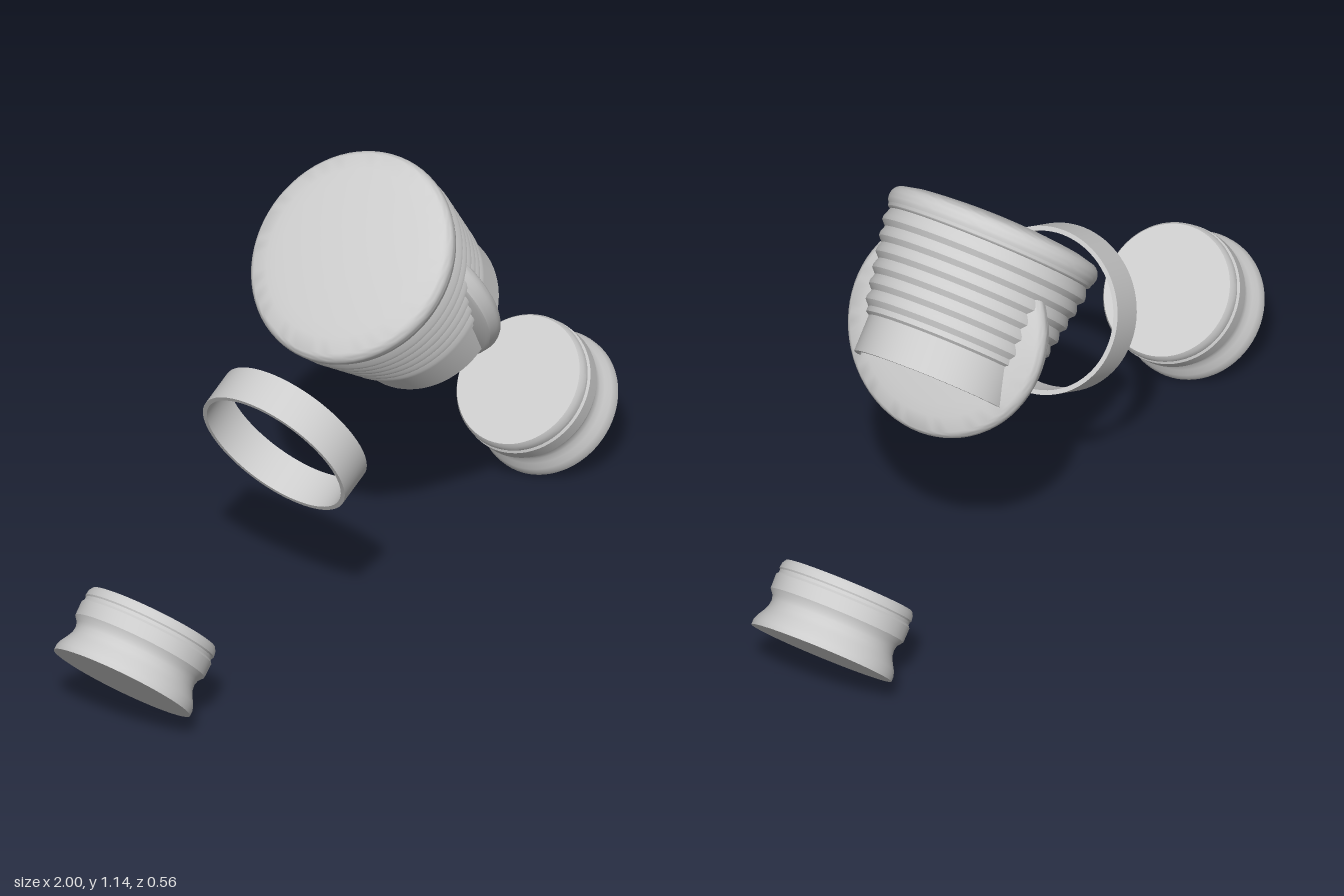
import * as THREE from 'three';
import { toCreasedNormals } from 'three/addons/utils/BufferGeometryUtils.js';

const SEGMENTS = 72;

// Revolves [radius, height] pairs around the part's own axis
function turned(name, profile, material, x, y, tilt) {
  const points = profile.map(([r, h]) => new THREE.Vector2(r, h));
  const geometry = toCreasedNormals(new THREE.LatheGeometry(points, SEGMENTS), 0.6);
  const mesh = new THREE.Mesh(geometry, material);
  mesh.name = name;
  mesh.position.set(x, y, 0);
  mesh.rotation.z = tilt;
  return mesh;
}

// Domed lid with a rounded rim, starting at height h
function lidProfile(h) {
  const p = [[0, h], [0.264, h], [0.272, h + 0.005]];
  for (let i = 0; i <= 8; i++) {
    const a = -0.7 + (i / 8) * 1.9;
    p.push([0.253 + 0.027 * Math.cos(a), h + 0.032 + 0.03 * Math.sin(a)]);
  }
  for (let i = 1; i <= 8; i++) {
    const r = 0.255 * (1 - i / 8);
    p.push([r, h + 0.064 + 0.02 * (1 - (r / 0.263) ** 2)]);
  }
  return p;
}

// Thin cup wall: plain neck, then six tapering ridges, then the inner face
function cupProfile() {
  const outer = [[0.212, 0.213], [0.212, 0.31], [0.222, 0.316]];
  for (let i = 0; i < 6; i++) {
    const h = 0.33 + i * 0.04;
    const r = 0.222 + i * 0.0075;
    outer.push([r, h], [r + 0.013, h + 0.014], [r + 0.013, h + 0.024]);
  }
  outer.push([0.263, 0.58]);
  const inner = outer.map(([r, h]) => [r - 0.011, h]).reverse();
  return [...outer, ...inner, outer[0]];
}

// Plug with a flat base, a cove and a stepped lip
const plugProfile = [
  [0, 0], [0.189, 0], [0.189, 0.014], [0.184, 0.028], [0.174, 0.045],
  [0.167, 0.06], [0.165, 0.075], [0.168, 0.088], [0.179, 0.102],
  [0.18, 0.14], [0.175, 0.146], [0.175, 0.154], [0.178, 0.158],
  [0.176, 0.172], [0.17, 0.182], [0, 0.182],
];

const ringProfile = [
  [0.212, -0.05], [0.212, 0.05], [0.2, 0.05], [0.2, -0.05], [0.212, -0.05],
];

export function createModel() {
  const grey = new THREE.MeshStandardMaterial({ color: 0xcccccc });
  grey.name = 'lightGrey';
  const model = new THREE.Group();
  model.name = 'cupAndPlugs';

  // Ridged cup with its closing lid
  const cup = new THREE.Group();
  cup.name = 'cup';
  cup.add(
    turned('cupWall', cupProfile(), grey, 0.5, 0.5, Math.PI / 4),
    turned('cupLid', lidProfile(0.576), grey, 0.5, 0.5, Math.PI / 4),
  );
  model.add(cup);

  // Second lid crossing the cup, and the loose ring on the same tilt
  const tilt = THREE.MathUtils.degToRad(-63);
  model.add(turned('crossingLid', lidProfile(-0.026), grey, 0.273, 0.779, tilt));
  model.add(turned('ring', ringProfile, grey, -0.207, 0.535, tilt));

  // Mirrored pair of plugs leaning inward
  for (const side of [-1, 1]) {
    const name = side > 0 ? 'leftPlug' : 'rightPlug';
    model.add(turned(name, plugProfile, grey, side * 0.866, 0.135, (side * Math.PI) / 4));
  }
  return model;
}
